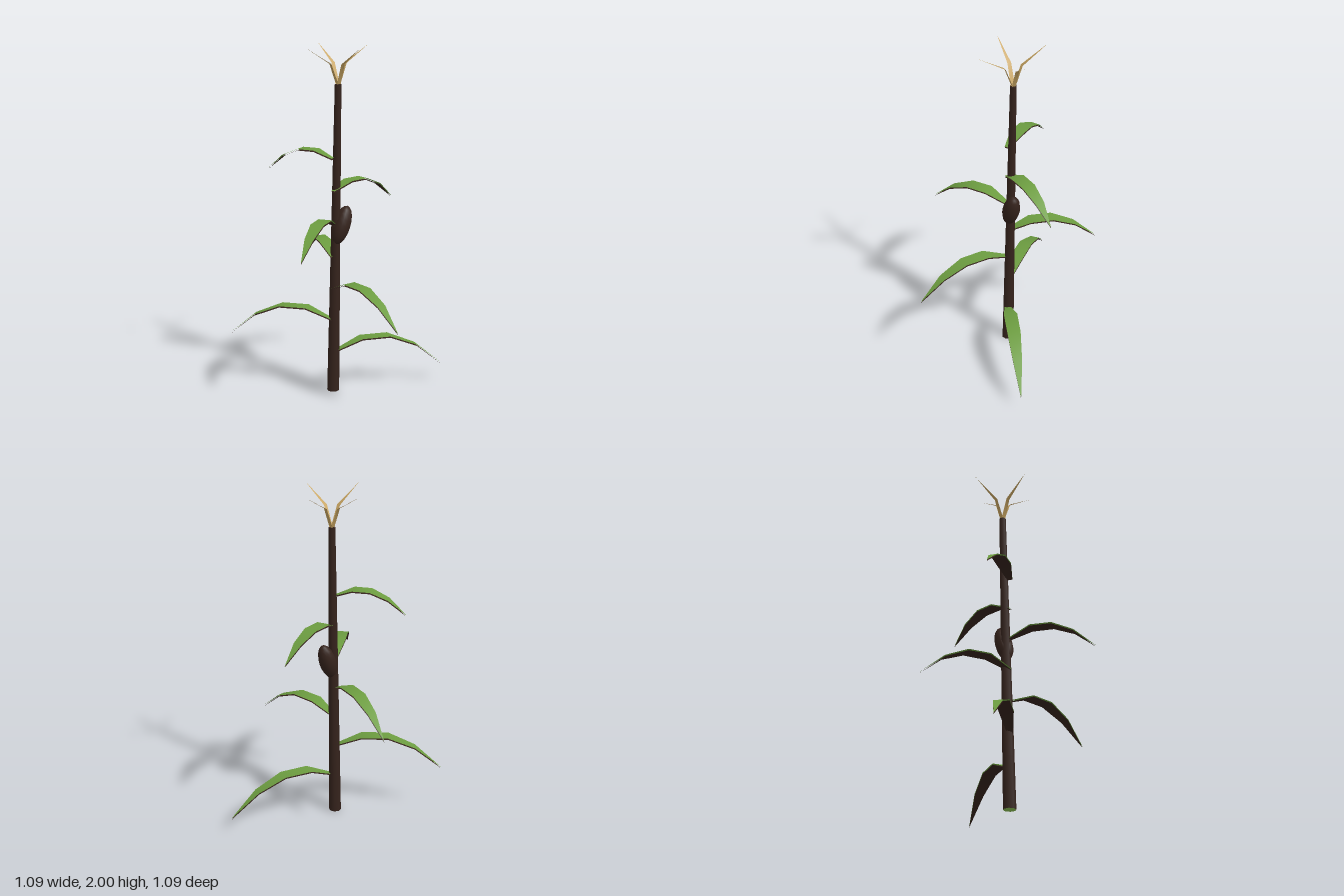
import * as THREE from 'three';

const mat = (color, side = THREE.FrontSide) => new THREE.MeshStandardMaterial({ color, side });
const stalkMat = mat(0x35231c);
const leafTopMat = mat(0x6c9c40, THREE.DoubleSide);
const leafUnderMat = mat(0x35231c, THREE.DoubleSide);
const tasselMat = mat(0xc8a562, THREE.DoubleSide);
const baseMat = mat(0x8cc455);

const STALK_H = 1.79;
const LEAF_GAP = 0.008;
const LEAF_ROOT = new THREE.Vector2(-0.1, -0.025);
const stalkX = (y) => -0.1 + (0.046 * y) / STALK_H;
const stalkZ = (y) => -0.03 - (0.013 * y) / STALK_H;
const stalkR = (y) => 0.036 - (0.017 * y) / STALK_H;

// Flat tapering ribbon along +x: stations are [out, height, width]
function ribbon(stations, facesDown = false) {
  const pos = [];
  const index = [];
  const side = facesDown ? -1 : 1;
  stations.forEach(([x, y, w], i) => {
    pos.push(x, y, (-side * w) / 2, x, y, (side * w) / 2);
    if (i === 0) return;
    const a = 2 * i - 2;
    index.push(a, a + 1, a + 3, a, a + 3, a + 2);
  });
  const geo = new THREE.BufferGeometry();
  geo.setAttribute('position', new THREE.Float32BufferAttribute(pos, 3));
  geo.setIndex(index);
  geo.computeVertexNormals();
  return geo;
}

// Arching leaf from inside the stalk to a tip: a green sheet over a dark one
function makeLeaf(apexY, tipX, tipZ) {
  const dx = tipX - LEAF_ROOT.x;
  const dz = tipZ - LEAF_ROOT.y;
  const length = Math.hypot(dx, dz);
  const stations = (offset) => [0.03, 0.08, 0.078, 0.053, 0].map((w, i) => {
    const t = i / 4;
    return [t * length, length * (0.64 * t - 0.85 * t * t - 0.106) + offset, w];
  });
  const leaf = new THREE.Group();
  leaf.name = 'leaf';
  const top = new THREE.Mesh(ribbon(stations(0)), leafTopMat);
  top.name = 'leafTop';
  const under = new THREE.Mesh(ribbon(stations(-LEAF_GAP), true), leafUnderMat);
  under.name = 'leafUnderside';
  leaf.add(top, under);
  leaf.position.set(LEAF_ROOT.x, apexY, LEAF_ROOT.y);
  leaf.rotation.y = Math.atan2(-dz, dx);
  return leaf;
}

// Horizontal disc closing one end of the stalk
function makeCap(name, y, material, angle) {
  const cap = new THREE.Mesh(new THREE.CircleGeometry(stalkR(y), 8, Math.PI / 2), material);
  cap.name = name;
  cap.rotation.x = angle;
  cap.position.set(stalkX(y), y, stalkZ(y));
  return cap;
}

export function createModel() {
  const model = new THREE.Group();
  model.name = 'cornPlant';

  // Leaning, tapering stalk
  const stalkGeo = new THREE.CylinderGeometry(stalkR(STALK_H), stalkR(0), STALK_H, 8, 6, true);
  stalkGeo.translate(0, STALK_H / 2, 0);
  const p = stalkGeo.attributes.position;
  for (let i = 0; i < p.count; i++) {
    const y = p.getY(i);
    p.setXYZ(i, p.getX(i) + stalkX(y), y, p.getZ(i) + stalkZ(y));
  }
  const stalk = new THREE.Mesh(stalkGeo, stalkMat);
  stalk.name = 'stalk';
  model.add(stalk);
  model.add(makeCap('stalkTop', STALK_H, stalkMat, -Math.PI / 2));
  model.add(makeCap('stalkBase', 0, baseMat, Math.PI / 2));

  // Leaves from bottom to top: apex height, tip x, tip z
  [
    [0.31, 0.54, 0.16],
    [0.5, -0.547, -0.466],
    [0.685, -0.03, 0.547],
    [0.868, 0.01, -0.547],
    [1.055, -0.48, 0.28],
    [1.24, 0.34, -0.1],
    [1.422, -0.33, -0.355],
  ].forEach((leaf) => model.add(makeLeaf(...leaf)));

  // Ear leaning out from the stalk
  const ear = new THREE.Mesh(new THREE.SphereGeometry(1, 12, 10), stalkMat);
  ear.name = 'ear';
  ear.scale.set(0.05, 0.115, 0.05);
  ear.rotation.z = -0.35;
  ear.position.set(-0.043, 0.987, -0.026);
  model.add(ear);

  // Tassel of four bent blades
  const tassel = new THREE.Group();
  tassel.name = 'tassel';
  tassel.position.set(stalkX(STALK_H), STALK_H - 0.01, stalkZ(STALK_H));
  const bladeGeo = ribbon([[0.003, 0, 0.026], [0.05, 0.125, 0.022], [0.205, 0.22, 0]]);
  for (let i = 0; i < 4; i++) {
    const blade = new THREE.Mesh(bladeGeo, tasselMat);
    blade.name = 'tasselBlade';
    blade.rotation.y = (i * Math.PI) / 2 + 0.04;
    tassel.add(blade);
  }
  model.add(tassel);

  return model;
}
